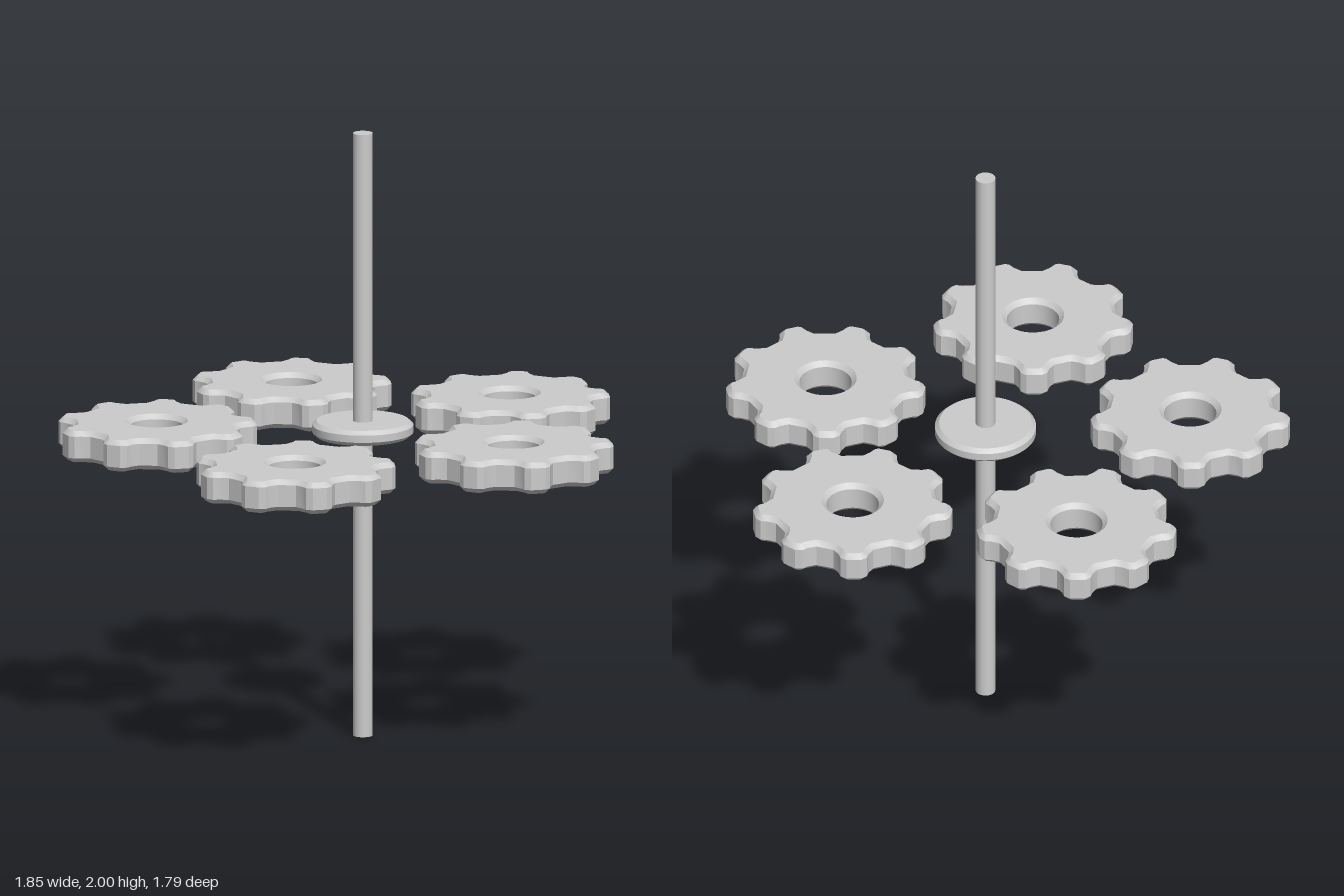
import * as THREE from 'three';
import { toCreasedNormals } from 'three/addons/utils/BufferGeometryUtils.js';

const material = new THREE.MeshStandardMaterial({ color: 0xcccccc });

// Nine-toothed cog with a round bore, chamfered on both faces, centred on its origin.
function cogGeometry() {
  const teeth = 9, thickness = 0.104, bevel = 0.016;
  // half of one tooth: [sideways, outward]
  const half = [[0.065, 0.265], [0.049, 0.29], [0.043, 0.311], [0.024, 0.324]];
  const tooth = [...half, ...half.slice().reverse().map(([x, y]) => [-x, y])];
  const points = [];
  for (let i = 0; i < teeth; i++) {
    const a = (i / teeth) * Math.PI * 2;
    for (const [x, y] of tooth) {
      points.push(new THREE.Vector2(x, y).rotateAround(new THREE.Vector2(), a));
    }
  }
  const shape = new THREE.Shape(points);
  shape.holes.push(new THREE.Path().absarc(0, 0, 0.085, 0, Math.PI * 2, true));
  const geometry = new THREE.ExtrudeGeometry(shape, {
    depth: thickness - 2 * bevel, bevelEnabled: true, bevelThickness: bevel,
    bevelSize: bevel, bevelOffset: -bevel, bevelSegments: 1, curveSegments: 24,
  });
  geometry.translate(0, 0, -(thickness / 2 - bevel));
  geometry.rotateX(Math.PI / 2); // first tooth points to +z
  return toCreasedNormals(geometry, 0.55);
}

export function createModel() {
  const model = new THREE.Group();
  const add = (name, geometry, x, y, z) => {
    const mesh = new THREE.Mesh(geometry, material);
    mesh.name = name;
    mesh.position.set(x, y, z);
    model.add(mesh);
  };

  // Ring of five loose cogs
  const cog = cogGeometry();
  [[-0.035, -0.59], [0.602, -0.227], [0.436, 0.465], [-0.32, 0.568], [-0.605, -0.12]]
    .forEach(([x, z], i) => add(`cog${i + 1}`, cog, x, 0.994, z));

  // Upright rod
  add('rod', new THREE.CylinderGeometry(0.032, 0.032, 2, 32), 0.042, 1, 0.042);

  // Chamfered disc around the rod
  const profile = [[0, -0.025], [0.15, -0.025], [0.164, -0.012], [0.164, 0.012], [0.15, 0.025], [0, 0.025]]
    .map(([x, y]) => new THREE.Vector2(x, y));
  add('disc', toCreasedNormals(new THREE.LatheGeometry(profile, 48), 0.5), 0.042, 1.02, 0.042);

  return model;
}
